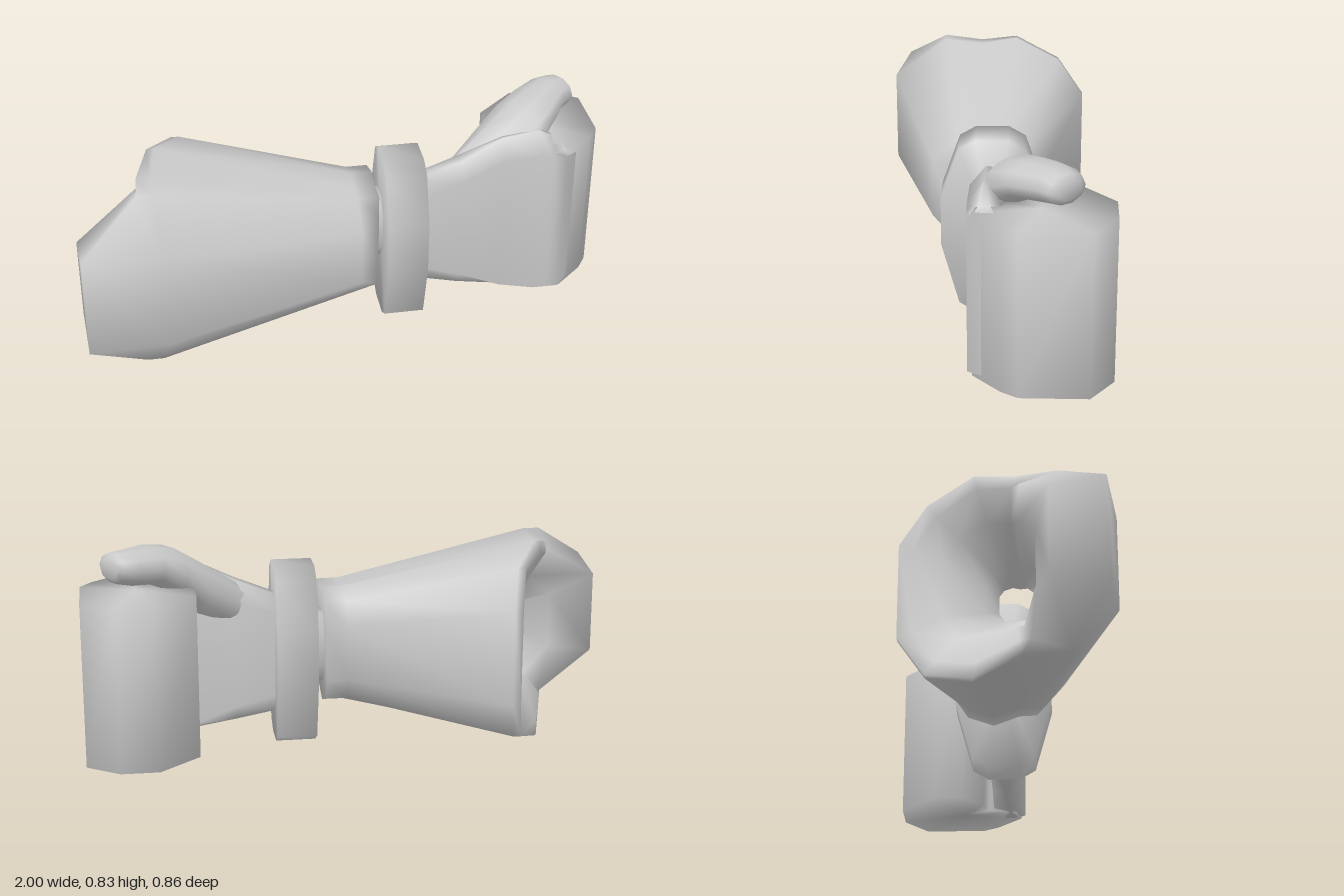
import * as THREE from 'three';

// Skin a list of equal-length rings of [x, y, z] with smooth normals and flat caps
function loft(rings, capStart = true) {
  const n = rings[0].length, pos = rings.flat(2), index = [];
  for (let r = 0; r < rings.length - 1; r++) {
    for (let i = 0; i < n; i++) {
      const j = (i + 1) % n, a = r * n, b = a + n;
      index.push(a + i, b + i, a + j, a + j, b + i, b + j);
    }
  }
  const cap = (r, flip) => {
    const c = [0, 1, 2].map(k => rings[r].reduce((s, p) => s + p[k], 0) / n);
    const id = pos.length / 3;
    pos.push(...c);
    for (let i = 0; i < n; i++) {
      const a = r * n + i, b = r * n + (i + 1) % n;
      index.push(id, flip ? a : b, flip ? b : a);
    }
  };
  if (capStart) cap(0, true);
  cap(rings.length - 1, false);
  const g = new THREE.BufferGeometry();
  g.setAttribute('position', new THREE.Float32BufferAttribute(pos, 3));
  g.setIndex(index);
  g.computeVertexNormals();
  return g;
}

// Rectangle across the arm at x, chamfered by cTop and cBottom in height and cz in depth
function slab(x, y0, y1, z0, z1, cTop, cBottom, cz) {
  return [
    [x, y0 + cBottom, z1], [x, y1 - cTop, z1], [x, y1, z1 - cz], [x, y1, z0 + cz],
    [x, y1 - cTop, z0], [x, y0 + cBottom, z0], [x, y0, z0 + cz], [x, y0, z1 - cz],
  ];
}

// Upright oval across a horizontal heading
function oval([x, y, z, w, h], heading) {
  const ring = [];
  for (let i = 0; i < 10; i++) {
    const a = i / 10 * Math.PI * 2, u = Math.cos(a) * w;
    ring.push([x + Math.sin(heading) * u, y + Math.sin(a) * h, z + Math.cos(heading) * u]);
  }
  return ring;
}

export function createModel() {
  const model = new THREE.Group();
  const material = new THREE.MeshStandardMaterial({ color: 0xcccccc });
  const add = (name, geometry) => {
    const mesh = new THREE.Mesh(geometry, material);
    mesh.name = name;
    model.add(mesh);
  };

  // Flared sleeve: slanted rim with a fold above and below, narrowing to the wrist
  const rim = [
    [-0.99, 0.615, 0.385], [-0.78, 0.76, 0.22], [-0.77, 0.745, 0.07], [-0.72, 0.778, -0.07],
    [-0.62, 0.72, -0.24], [-0.59, 0.58, -0.34], [-0.59, 0.22, -0.34], [-0.62, 0.065, -0.24],
    [-0.72, 0.003, -0.07], [-0.77, 0.068, 0.1], [-0.78, 0.073, 0.265], [-0.99, 0.222, 0.39],
  ];
  const isFront = i => i === 0 || i === rim.length - 1;
  const shoulder = rim.map(([x, y, z], i) => isFront(i)
    ? [-0.7, i ? 0.255 : 0.61, 0.425] : [Math.max(x + 0.03, -0.72), y, z]);
  const narrow = (x, maxZ) => rim.map(([, y, z]) =>
    [x, 0.4 + (y - 0.39) * 0.57, Math.min(maxZ, 0.03 + (z - 0.04) * 0.58)]);
  // Thick rounded lip turning into a shallow funnel with a small open throat
  const lip = rim.map(([x, y, z], i) => isFront(i)
    ? [-1, 0.41 + (y - 0.41) * 0.8, 0.19]
    : [x, 0.4 + (y - 0.4) * 0.86, 0.01 + (z - 0.01) * 0.86 - (z > 0.2 ? 0.1 : 0)]);
  const funnel = (x, s) => rim.map(([, y, z]) => [x, 0.37 + (y - 0.39) * s, 0.08 + (z - 0.04) * s]);
  const inner = lip.map(([x, y, z]) =>
    [-0.63 + (x + 0.63) * 0.5, 0.38 + (y - 0.38) * 0.68, 0.05 + (z - 0.05) * 0.68]);
  add('sleeve', loft([
    funnel(-0.52, 0.18), funnel(-0.57, 0.3), inner, lip, rim, shoulder, narrow(0.03, 0.24), narrow(0.11, 0.13),
  ], false));

  // Wrist
  add('wrist', loft([0.09, 0.2].map(x => slab(x, 0.27, 0.53, -0.12, 0.06, 0.07, 0.07, 0.05))));

  // Cuff band
  const band = [
    [0.3, 0.185], [0.49, 0.185], [0.675, 0.12], [0.71, 0.06], [0.71, -0.06], [0.675, -0.12],
    [0.49, -0.185], [0.3, -0.185], [0.065, -0.12], [0.03, -0.06], [0.03, 0.06], [0.065, 0.12],
  ];
  add('cuff', loft([0.14, 0.29].map(x => band.map(([y, z]) => [x, y, z]))));

  // Palm, rising into the web of the thumb and running on into the knuckles
  add('palm', loft([
    slab(0.26, 0.15, 0.59, -0.065, 0.04, 0.07, 0.07, 0.03),
    slab(0.44, 0.115, 0.66, -0.07, 0.062, 0.07, 0.06, 0.04),
    slab(0.6, 0.08, 0.74, -0.06, 0.065, 0.07, 0.03, 0.055),
    slab(0.74, 0.07, 0.76, -0.06, 0.067, 0.08, 0.01, 0.06),
    slab(0.785, 0.07, 0.74, -0.05, 0.067, 0.065, 0.01, 0.05),
    slab(0.8, 0.07, 0.676, -0.05, 0.067, 0.01, 0.01, 0.04),
    slab(0.84, 0.07, 0.676, -0.05, 0.067, 0.01, 0.01, 0.03),
    slab(0.93, 0.09, 0.66, -0.06, -0.03, 0.01, 0.01, 0.01),
  ]));

  // Curled fingers
  const outline = [
    [0.77, 0.03], [0.85, 0.05], [0.96, -0.05], [1, -0.11], [1, -0.35], [0.88, -0.435],
    [0.74, -0.435], [0.59, -0.3], [0.59, -0.18], [0.68, -0.1], [0.75, -0.08],
  ];
  add('fingers', loft([0.675, 0.07].map(y => outline.map(([x, z]) => [x, y, z]))));

  // Thumb resting over the fingers: x, y, z, half width, half height
  add('thumb', loft([
    [0.4, 0.55, -0.01, 0.04, 0.08],
    [0.59, 0.65, -0.055, 0.115, 0.105],
    [0.68, 0.72, -0.09, 0.13, 0.095],
    [0.755, 0.762, -0.155, 0.115, 0.07],
    [0.83, 0.772, -0.235, 0.09, 0.064],
    [0.882, 0.778, -0.262, 0.075, 0.055],
    [0.895, 0.78, -0.272, 0.05, 0.036],
  ].map(s => oval(s, 0.6))));

  return model;
}
